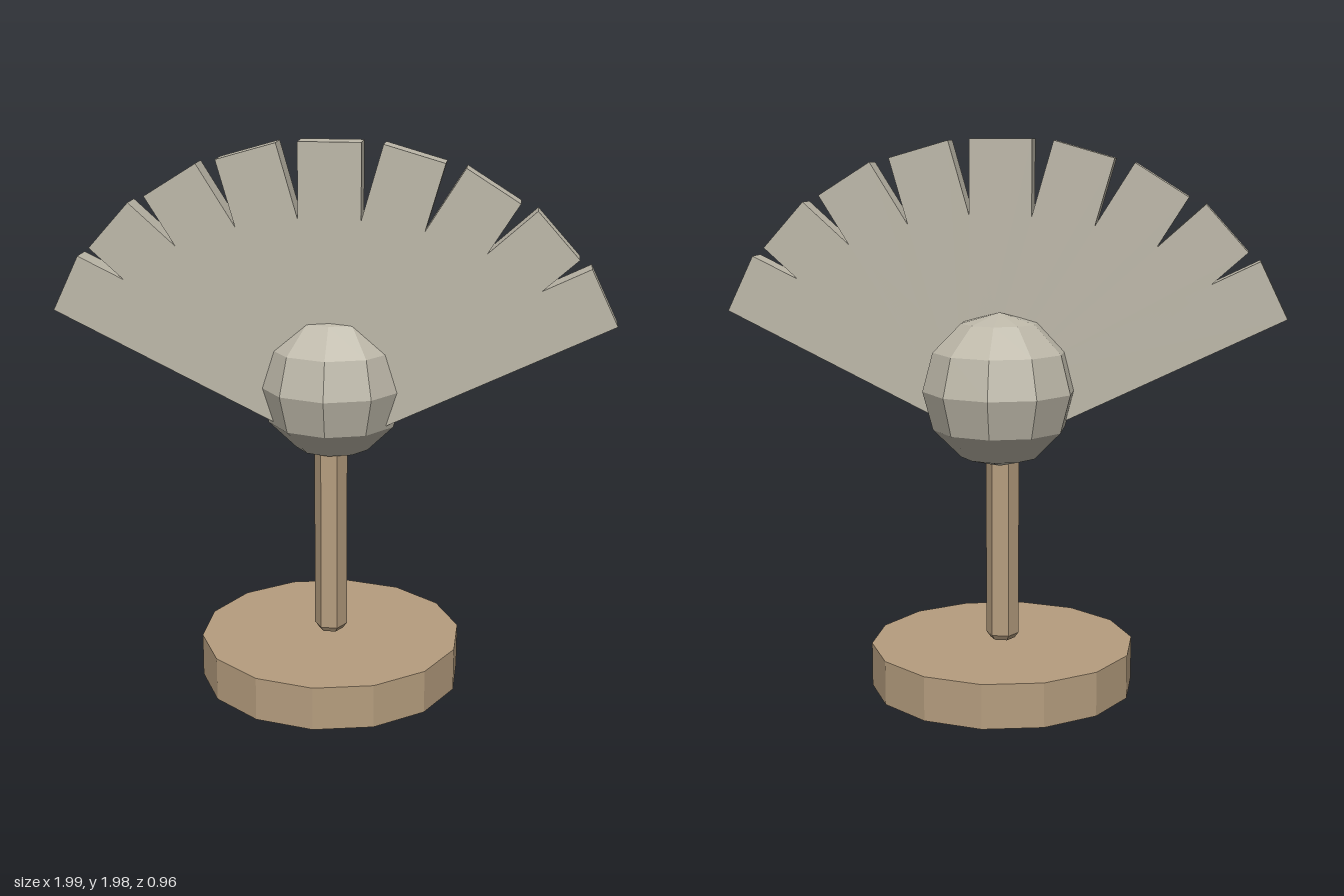
import * as THREE from 'three';

export function createModel() {
  const group = new THREE.Group();
  const wood = new THREE.MeshStandardMaterial({ color: 0xb59d7e, flatShading: true });
  wood.name = 'tan wood';
  const stone = new THREE.MeshStandardMaterial({ color: 0xbdb8a9, flatShading: true });
  stone.name = 'warm grey';

  const add = (name, geometry, material, x = 0, y = 0, z = 0) => {
    const mesh = new THREE.Mesh(geometry, material);
    mesh.name = name;
    mesh.position.set(x, y, z);
    group.add(mesh);
    return mesh;
  };

  // Fourteen-sided foot
  add('base', new THREE.CylinderGeometry(0.48, 0.48, 0.16, 14), wood, 0, 0.083, 0);

  // Hexagonal post with a chamfered lower end, hovering just above the foot
  const post = new THREE.LatheGeometry([
    [0, 0.175], [0.045, 0.175], [0.06, 0.195], [0.06, 0.9], [0, 0.9],
  ].map(([r, y]) => new THREE.Vector2(r, y)), 6, Math.PI / 2);
  add('post', post, wood);

  // Faceted body, with a vertex of its ten-sided equator facing forward
  const body = new THREE.SphereGeometry(0.275, 10, 6);
  body.rotateY(Math.PI / 2);
  add('body', body, stone, 0, 1.11, -0.07);

  // Fan of nine straight blades whose tips follow a shallow ellipse
  const length = 0.95;
  for (let i = -4; i <= 4; i++) {
    const angle = THREE.MathUtils.degToRad(16 * i);
    const geometry = new THREE.BoxGeometry(0.22, length, 0.092);
    geometry.translate(0, -length / 2, 0);
    const blade = add('fanBlade' + (i + 5), geometry, stone,
      1.055 * Math.sin(angle), 1.072 + 0.913 * Math.cos(angle), -0.003);
    blade.rotation.z = -angle;
  }

  return group;
}
